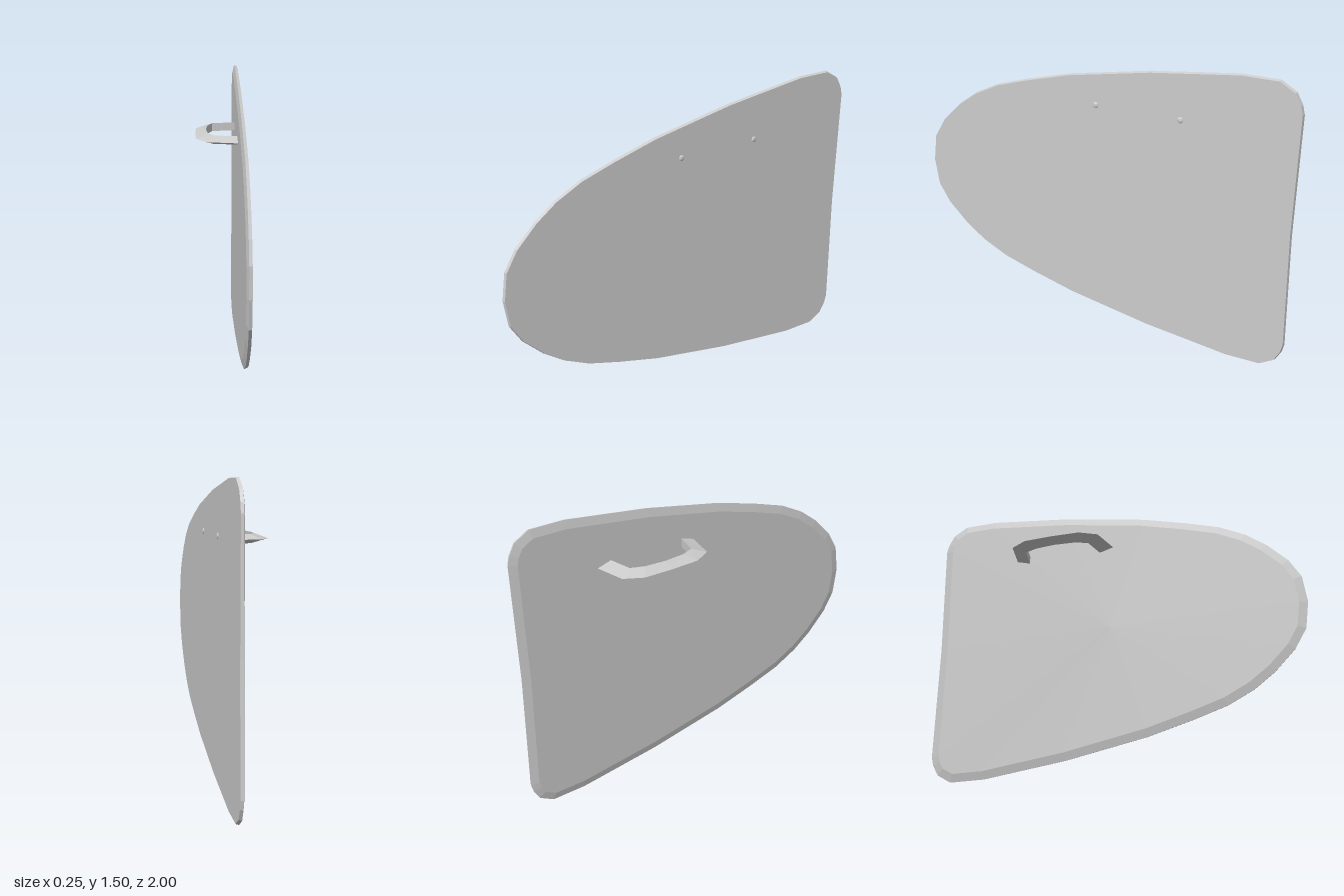
import * as THREE from 'three';

const material = new THREE.MeshStandardMaterial({ color: 0xcccccc, flatShading: true });

// Skin a row of closed rings (clockwise seen from the last ring) and cap both ends
function loft(rings) {
  const pos = [];
  const tri = (...pts) => pts.forEach((p) => pos.push(p.x, p.y, p.z));
  const n = rings[0].length;
  const middle = (ring) => ring.reduce((s, p) => s.add(p), new THREE.Vector3()).divideScalar(n);
  const first = rings[0], last = rings[rings.length - 1];
  const c0 = middle(first), c1 = middle(last);
  for (let j = 0; j < n; j++) {
    const k = (j + 1) % n;
    for (let i = 0; i < rings.length - 1; i++) {
      const a = rings[i], b = rings[i + 1];
      tri(a[j], b[k], a[k]);
      tri(a[j], b[j], b[k]);
    }
    tri(c0, first[j], first[k]);
    tri(c1, last[k], last[j]);
  }
  const geometry = new THREE.BufferGeometry();
  geometry.setAttribute('position', new THREE.Float32BufferAttribute(pos, 3));
  geometry.computeVertexNormals();
  return geometry;
}

function addPart(group, name, geometry) {
  const mesh = new THREE.Mesh(geometry, material);
  mesh.name = name;
  group.add(mesh);
  return mesh;
}

// Shield outline as [z, half height], from the rounded tip to the straight end
const MID_Y = 0.753;
const half = [
  [1.0, 0], [0.98, 0.142], [0.92, 0.243], [0.815, 0.349], [0.71, 0.427],
  [0.575, 0.495], [0.4, 0.55], [0.17, 0.613], [-0.26, 0.694], [-0.7, 0.75],
  [-0.88, 0.75], [-0.955, 0.705], [-0.985, 0.65], [-0.996, 0.605], [-0.986, 0],
];
const outline = [...half, ...half.slice(1, -1).reverse().map(([z, h]) => [z, -h])]
  .map(([z, h]) => new THREE.Vector2(z, h));

// Outline moved inward by a distance, placed at a given x
function plateRing(x, inset) {
  const n = outline.length;
  return outline.map((p, i) => {
    const before = p.clone().sub(outline[(i + n - 1) % n]).normalize();
    const after = outline[(i + 1) % n].clone().sub(p).normalize();
    const dir = before.clone().add(after).normalize();
    const d = inset / Math.max(0.5, dir.dot(after));
    return new THREE.Vector3(x, MID_Y + p.y + dir.x * d, p.x - dir.y * d);
  });
}

export function createModel() {
  const group = new THREE.Group();
  group.name = 'shield';

  // Thin plate with a wide bevel around the handle side
  addPart(group, 'plate', loft([
    plateRing(0.088, 0.042), plateRing(0.098, 0), plateRing(0.113, 0.005),
  ]));

  // Bent handle with a triangular section: [outer x, outer z, inner x, inner z]
  const bends = [
    [0.092, -0.553, 0.092, -0.48], [-0.07, -0.518, -0.034, -0.453],
    [-0.12, -0.428, -0.06, -0.385], [-0.125, -0.277, -0.069, -0.277],
    [-0.12, -0.127, -0.06, -0.17], [-0.07, -0.037, -0.034, -0.102],
    [0.092, -0.001, 0.092, -0.075],
  ];
  addPart(group, 'handle', loft(bends.map(([ox, oz, ix, iz]) => [
    new THREE.Vector3(ox, 1.221, oz),
    new THREE.Vector3(ix, 1.243, iz),
    new THREE.Vector3(ix, 1.2, iz),
  ])));

  // Rivets on the outer face, holding the handle
  for (const z of [0.024, -0.415]) {
    const rivet = addPart(group, 'rivet', new THREE.SphereGeometry(0.016, 8, 6));
    rivet.scale.x = 0.5;
    rivet.position.set(0.112, 1.233, z);
  }
  return group;
}
